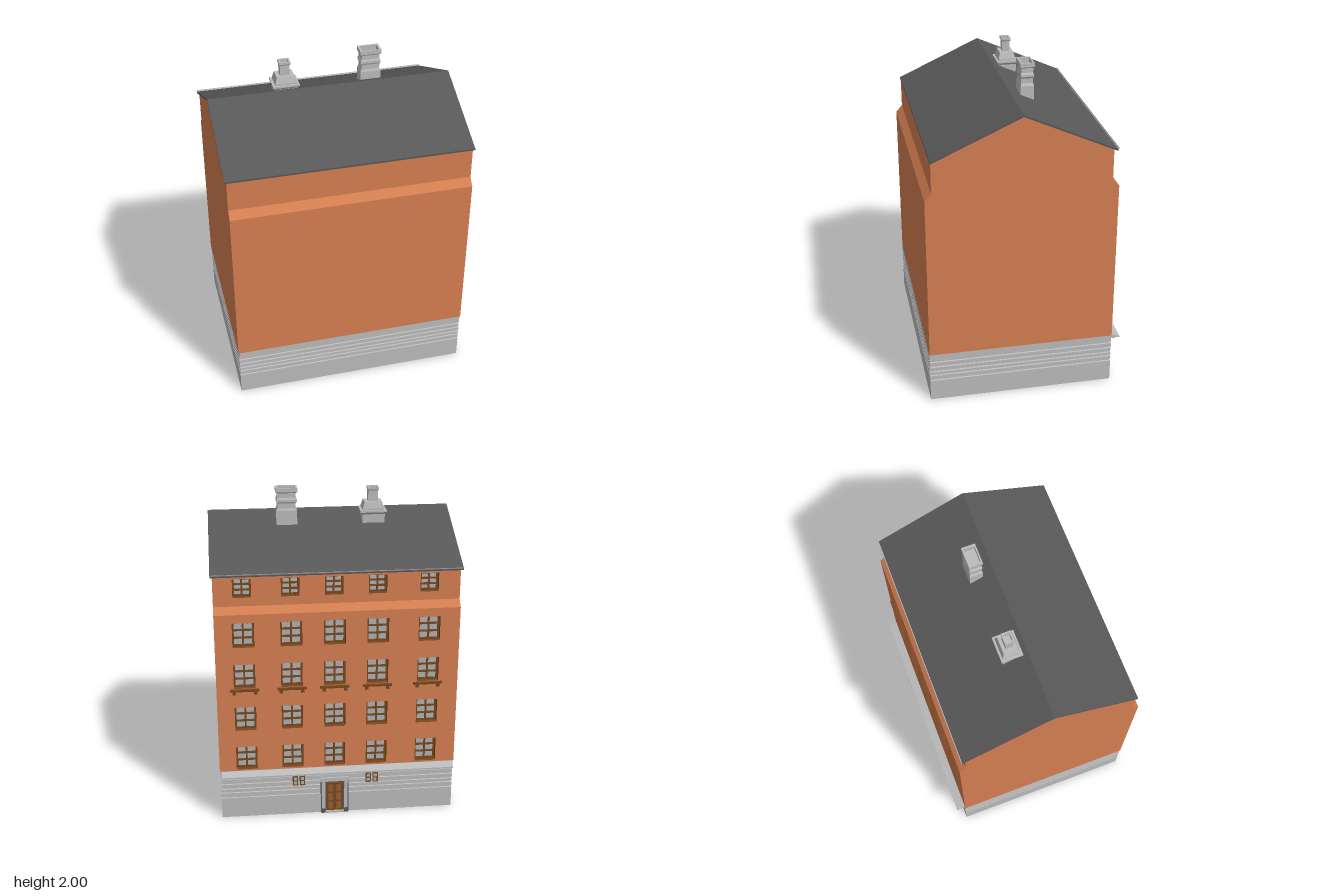
import * as THREE from 'three';

const mat = (name, color) => Object.assign(new THREE.MeshStandardMaterial({ color }), { name });

export function createModel() {
  const plaster = mat('orange plaster', 0xd67f52);
  const stone = mat('grey stone', 0xbcbcbc);
  const slate = mat('dark slate', 0x585858);
  const brown = mat('brown wood', 0x78481f);
  const doorWood = mat('door wood', 0x9a5f2c);
  const glass = mat('grey glass', 0xb0b2b4);

  const model = new THREE.Group();
  model.name = 'townhouse';
  const BACK = -0.545, FRONT = 0.6, MID = (BACK + FRONT) / 2, HX = 0.735;

  const add = (name, geo, material, x = 0, y = 0, z = 0, parent = model) => {
    const m = new THREE.Mesh(geo, material);
    m.name = name;
    m.position.set(x, y, z);
    parent.add(m);
    return m;
  };
  const box = (name, material, w, h, d, x, y, z, parent) =>
    add(name, new THREE.BoxGeometry(w, h, d), material, x, y, z, parent);
  const shapeOf = pts => new THREE.Shape(pts.map(p => new THREE.Vector2(p[0], p[1])));

  // Profile given as [z, y], extruded along x and centred
  const extrudeX = (pts, width) => {
    const g = new THREE.ExtrudeGeometry(shapeOf(pts), { depth: width, bevelEnabled: false });
    return g.rotateY(-Math.PI / 2).translate(width / 2, 0, 0);
  };
  // Four-sided turned profile given as [half width, y]
  const squareLathe = (pts, depthRatio) => {
    const v = pts.map(p => new THREE.Vector2(p[0] * Math.SQRT2, p[1]));
    const g = new THREE.LatheGeometry(v, 4, Math.PI / 4).scale(1, 1, depthRatio).toNonIndexed();
    g.computeVertexNormals();
    return g;
  };
  const rect = (cx, cy, w, h) => [
    [cx - w / 2, cy - h / 2], [cx + w / 2, cy - h / 2], [cx + w / 2, cy + h / 2], [cx - w / 2, cy + h / 2]];
  // Flat plate with rectangular openings
  const plate = (outer, holes, depth) => {
    const s = shapeOf(outer);
    holes.forEach(h => s.holes.push(new THREE.Path(h.reverse().map(p => new THREE.Vector2(p[0], p[1])))));
    return new THREE.ExtrudeGeometry(s, { depth, bevelEnabled: false });
  };
  const paneFrame = (w, h, cols, rows, bar, depth) => {
    const holes = [], pw = (w - bar * (cols + 1)) / cols, ph = (h - bar * (rows + 1)) / rows;
    for (let i = 0; i < cols; i++) for (let j = 0; j < rows; j++) {
      holes.push(rect(-w / 2 + bar + pw / 2 + i * (pw + bar), -h / 2 + bar + ph / 2 + j * (ph + bar), pw, ph));
    }
    return plate(rect(0, 0, w, h), holes, depth);
  };

  // Stone base, open below, with five grooves
  const baseProfile = [[0.73, 0]];
  for (const y of [0.14, 0.175, 0.202, 0.235, 0.27]) {
    baseProfile.push([0.73, y - 0.006], [0.72, y - 0.004], [0.72, y + 0.004], [0.73, y + 0.006]);
  }
  baseProfile.push([0.73, 0.327]);
  stone.side = THREE.DoubleSide;
  add('base', squareLathe(baseProfile, (FRONT - MID) / 0.73), stone, 0, 0, MID);

  // Gable walls
  const gable = [[FRONT, 0.325], [FRONT, 1.355], [0.56, 1.4], [0.56, 1.592], [0.03, 1.832],
    [-0.505, 1.592], [-0.505, 1.395], [BACK, 1.355], [BACK, 0.325]];
  for (const s of [-1, 1]) add('gableWall', extrudeX(gable, 0.002), plaster, s * (HX - 0.001));

  // Plain front wall and the sloped set-back of the facade
  const t = 0.004, W = 2 * HX - 0.002;
  add('frontWall', extrudeX([[FRONT, 0.325], [FRONT, 1.355], [0.56, 1.4], [0.56, 1.592],
    [0.56 - t, 1.592], [0.56 - t, 1.398], [FRONT - t, 1.353], [FRONT - t, 0.325]], W), plaster);
  add('setback', extrudeX([[BACK, 1.355], [-0.505, 1.395], [-0.465, 1.395], [-0.465, 1.355]], W), plaster);

  // Facade with recessed windows
  const columns = [-0.55, -0.24, 0.02, 0.28, 0.565];
  const DEPTH = 0.045;
  const facade = (name, y0, y1, z, rows, w, h) => {
    const holes = [];
    for (const x of columns) for (const y of rows) holes.push(rect(x, y, w, h));
    add(name, plate(rect(0, (y0 + y1) / 2, W, y1 - y0), holes, DEPTH), [plaster, brown], 0, 0, z);
    const frame = paneFrame(w, h, 2, 3, 0.011, 0.012);
    const pane = new THREE.BoxGeometry(w, h, 0.004);
    for (const x of columns) for (const y of rows) {
      const win = new THREE.Group();
      win.name = 'window';
      win.position.set(x, y, z);
      add('windowFrame', frame, brown, 0, 0, 0.028, win);
      add('windowGlass', pane, glass, 0, 0, 0.038, win);
      model.add(win);
    }
  };
  facade('lowerFacade', 0.325, 1.355, BACK, [0.412, 0.68, 0.96, 1.225], 0.13, 0.155);
  facade('upperFacade', 1.395, 1.592, -0.505, [1.505], 0.11, 0.115);

  // Sills with brackets under the third-floor windows
  for (const x of columns) {
    box('sill', brown, 0.178, 0.014, 0.014, x, 0.872, BACK - 0.006);
    for (const s of [-1, 1]) box('sillBracket', brown, 0.02, 0.022, 0.01, x + s * 0.065, 0.855, BACK - 0.004);
  }

  // Ledge over the ground floor, on small corbels
  add('ledge', extrudeX([[BACK + 0.01, 0.326], [-0.6, 0.308], [-0.6, 0.298], [BACK + 0.01, 0.304]], 1.445), stone);
  for (let i = 0; i < 19; i++) {
    box('corbel', slate, 0.036, 0.012, 0.036, -0.69 + i * 1.38 / 18, 0.296, BACK - 0.016);
  }

  // Pairs of small basement windows
  const smallFrame = paneFrame(0.034, 0.065, 1, 2, 0.007, 0.006);
  for (const cx of [0.245, -0.215]) for (const s of [-1, 1]) {
    const x = cx + s * 0.022;
    add('basementFrame', smallFrame, brown, x, 0.235, BACK - 0.005);
    box('basementGlass', glass, 0.032, 0.063, 0.004, x, 0.235, BACK - 0.001);
  }

  // Double door with stone surround and step
  const door = new THREE.Group();
  door.name = 'entrance';
  door.position.set(0.02, 0, BACK);
  model.add(door);
  box('doorBacking', slate, 0.176, 0.24, 0.004, 0, 0.12, -0.001, door);
  box('doorLintel', stone, 0.18, 0.026, 0.016, 0, 0.235, -0.004, door);
  const leaf = paneFrame(0.05, 0.195, 1, 3, 0.01, 0.004);
  for (const s of [-1, 1]) {
    box('doorPilaster', stone, 0.022, 0.225, 0.012, s * 0.071, 0.1125, -0.004, door);
    box('doorPlinth', slate, 0.028, 0.03, 0.016, s * 0.071, 0.015, -0.005, door);
    box('doorLeaf', doorWood, 0.05, 0.195, 0.004, s * 0.026, 0.112, -0.003, door);
    add('doorPanelFrame', leaf, brown, s * 0.026, 0.112, -0.008, door);
  }
  box('doorStep', stone, 0.12, 0.014, 0.02, 0, 0.007, -0.006, door);

  // Pitched roof and back gutter
  add('roof', extrudeX([[0.563, 1.598], [0.03, 1.84], [-0.525, 1.591],
    [-0.525, 1.58], [0.03, 1.829], [0.563, 1.587]], 1.496), slate);
  const gutter = new THREE.CylinderGeometry(0.011, 0.011, 1.496, 8, 1, true, 0, Math.PI);
  add('gutter', gutter.rotateZ(-Math.PI / 2), stone, 0, 1.598, -0.52);

  // Chimneys, hollow at the top
  add('steppedChimney', squareLathe([[0.068, 1.74], [0.07, 1.825], [0.081, 1.838], [0.081, 1.85],
    [0.066, 1.85], [0.066, 1.86], [0.054, 1.9], [0.03, 1.9], [0.03, 1.965], [0.035, 1.972],
    [0.035, 1.987], [0.024, 1.987], [0.024, 1.95], [0, 1.95]], 0.81), stone, -0.263, 0, -0.066);
  add('tallChimney', squareLathe([[0.064, 1.74], [0.064, 1.86], [0.056, 1.875], [0.056, 1.905],
    [0.063, 1.915], [0.063, 1.928], [0.056, 1.94], [0.056, 1.968], [0.066, 1.975], [0.066, 2],
    [0.052, 2], [0.052, 1.965], [0, 1.965]], 0.64), stone, 0.27, 0, -0.08);

  return model;
}
